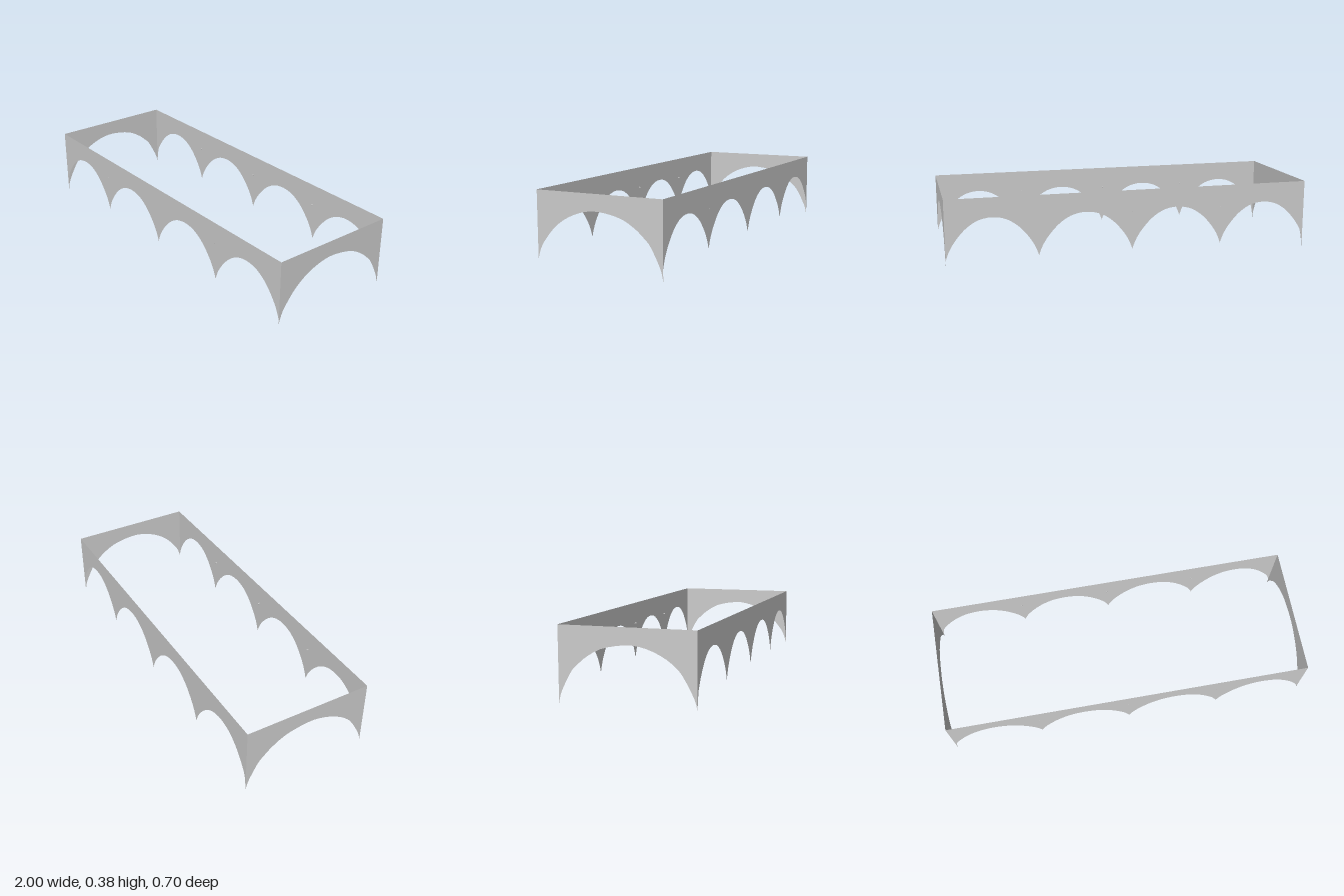
import * as THREE from 'three';

const TOP = 0.385, HALF_X = 1, HALF_Z = 0.35;
const material = new THREE.MeshStandardMaterial({ color: 0xcccccc, side: THREE.DoubleSide });

// Flat hanging panel: straight top edge, lower edge made of smooth arches between cusps
function panel(name, arches) {
  const edge = [];
  for (const points of arches) {
    const curve = new THREE.SplineCurve(points.map(([u, v]) => new THREE.Vector2(u, v)));
    edge.push(...curve.getPoints(32).slice(edge.length ? 1 : 0));
  }
  const first = edge[0], last = edge[edge.length - 1];
  const outline = [...edge, new THREE.Vector2(last.x, TOP), new THREE.Vector2(first.x, TOP)];
  const mesh = new THREE.Mesh(new THREE.ShapeGeometry(new THREE.Shape(outline)), material);
  mesh.name = name;
  return mesh;
}

// Half an arch: share of the half width from the cusp, and height
const RISE = [[0.05, 0.095], [0.12, 0.13], [0.24, 0.173], [0.42, 0.222], [0.62, 0.257], [0.8, 0.274]];

function scallop(x0, x1, y0, y1) {
  const h = (x1 - x0) / 2;
  return [
    [x0, y0], ...RISE.map(([t, y]) => [x0 + t * h, y]), [x0 + h, 0.28],
    ...RISE.map(([t, y]) => [x1 - t * h, y]).reverse(), [x1, y1],
  ];
}

export function createModel() {
  const group = new THREE.Group();
  group.name = 'scallopedValance';

  // Long panels with four scallops each, and small pegs above the cusps
  const cusps = [-HALF_X, -0.5, 0.005, 0.515, HALF_X];
  const scallops = cusps.slice(1).map((x, i) => scallop(cusps[i], x, i ? 0.06 : 0.025, 0.06));
  for (const [name, s] of [['front', 1], ['back', -1]]) {
    const long = panel(name + 'Panel', scallops);
    long.position.z = s * HALF_Z;
    group.add(long);
    for (const x of [-0.5, 0, 0.5]) {
      const peg = new THREE.Mesh(new THREE.CylinderGeometry(0.004, 0.004, 0.011, 8), material);
      peg.name = name + 'Peg';
      peg.rotation.x = Math.PI / 2;
      peg.position.set(x, 0.265, s * (HALF_Z - 0.005));
      group.add(peg);
    }
  }

  // End panels with one wide arch each; the drawn axis runs along -z
  const crown = [[-0.25, 0.203], [-0.18, 0.254], [-0.09, 0.29], [0, 0.3], [0.12, 0.279],
    [0.2, 0.237], [0.25, 0.195], [0.285, 0.157], [0.335, 0.06], [HALF_Z, 0]];
  const ends = [
    ['leftEndPanel', 1, [[-HALF_Z, 0.04], [-0.33, 0.1], [-0.3, 0.145]]],
    ['rightEndPanel', -1, [[-HALF_Z, 0], [-0.338, 0.058], [-0.29, 0.15]]],
  ];
  for (const [name, s, corner] of ends) {
    const end = panel(name, [[...corner, ...crown]]);
    end.rotation.y = Math.PI / 2;
    end.position.x = s * HALF_X;
    group.add(end);
  }
  return group;
}
